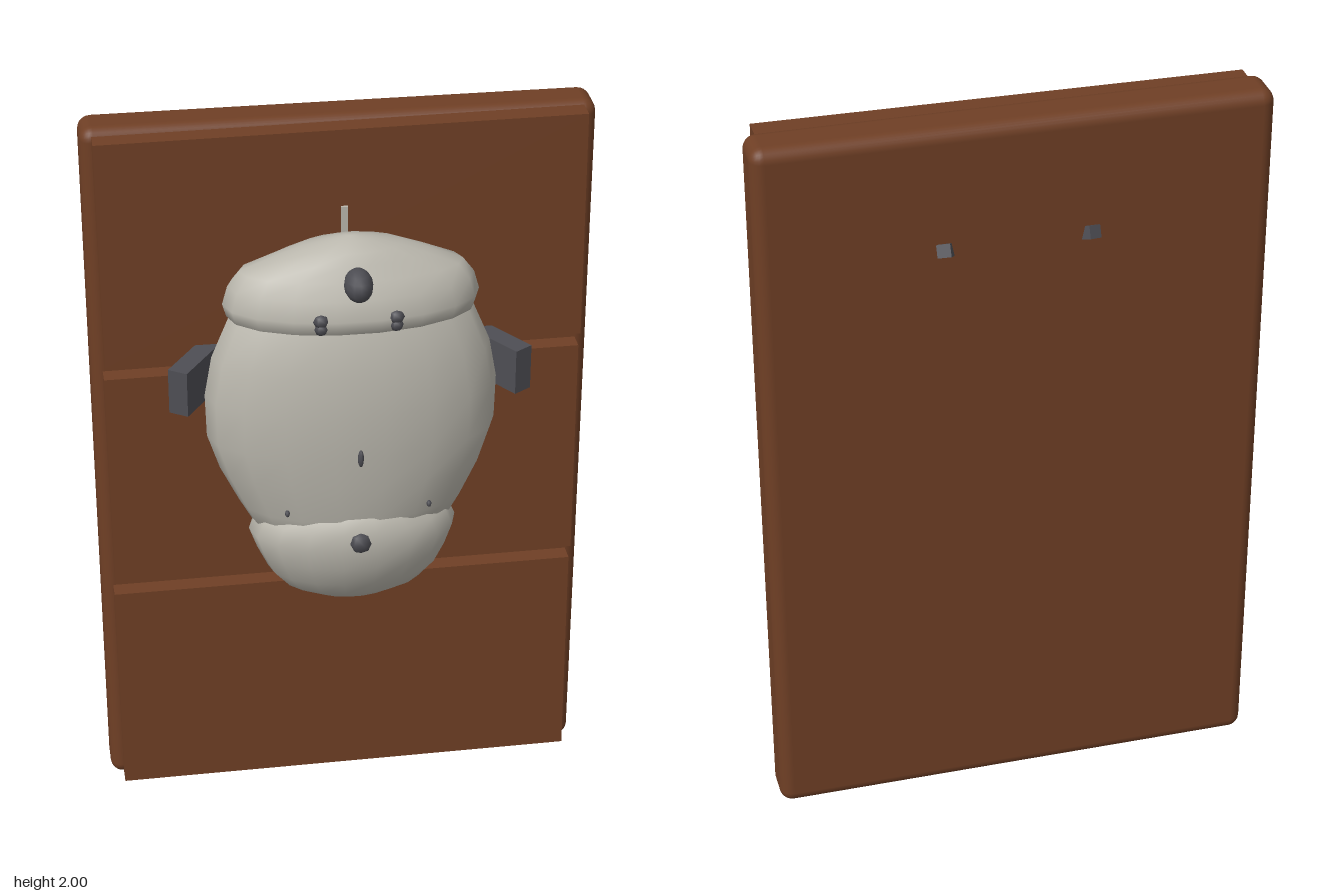
import * as THREE from 'three';
import { RoundedBoxGeometry } from 'three/addons/geometries/RoundedBoxGeometry.js';

const mat = (name, color) => {
  const m = new THREE.MeshStandardMaterial({ color });
  m.name = name;
  return m;
};

// Closed loft through elliptical rings [y, halfWidth, zCentre, halfDepth], bottom to top
function loft(rings, sides = 18) {
  const pos = [], idx = [], n = rings.length;
  for (const [y, rx, zc, rz] of rings) {
    for (let i = 0; i < sides; i++) {
      const a = (i / sides) * Math.PI * 2;
      pos.push(Math.cos(a) * rx, y, zc + Math.sin(a) * rz);
    }
  }
  for (let r = 0; r < n - 1; r++) {
    for (let i = 0; i < sides; i++) {
      const j = (i + 1) % sides;
      const a = r * sides + i, b = r * sides + j, c = a + sides, d = b + sides;
      idx.push(a, c, b, b, c, d);
    }
  }
  // end fans
  const first = rings[0], last = rings[n - 1], bottom = n * sides, top = bottom + 1;
  pos.push(0, first[0], first[2], 0, last[0], last[2]);
  for (let i = 0; i < sides; i++) {
    const j = (i + 1) % sides, o = (n - 1) * sides;
    idx.push(bottom, i, j, top, o + j, o + i);
  }
  const g = new THREE.BufferGeometry();
  g.setAttribute('position', new THREE.Float32BufferAttribute(pos, 3));
  g.setIndex(idx);
  g.computeVertexNormals();
  return g;
}

export function createModel() {
  const group = new THREE.Group();
  const wood = mat('brown wood', 0x6f3f25);
  const stone = mat('pale stone', 0xbab7ad);
  const dark = mat('dark grey', 0x4e4e54);

  const add = (name, geo, material, x = 0, y = 0, z = 0) => {
    const m = new THREE.Mesh(geo, material);
    m.name = name;
    m.position.set(x, y, z);
    group.add(m);
    return m;
  };
  // Small faceted ellipsoid
  const bead = (name, x, y, z, rx, ry, rz, w = 8, h = 6) =>
    add(name, new THREE.SphereGeometry(1, w, h).scale(rx, ry, rz), dark, x, y, z);

  // Backing board and three slightly skewed planks
  add('backBoard', new RoundedBoxGeometry(1.33, 2, 0.13, 3, 0.035), wood, 0, 1, -0.17);
  [0.335, 1.003, 1.67].forEach((y, i) => {
    const p = add('plank' + (i + 1), new THREE.BoxGeometry(1.265, 0.632, 0.06), wood, 0, y, -0.085);
    p.rotation.z = 0.007;
  });

  // Main body
  add('body', loft([
    [0.89, 0.2, 0.07, 0.1], [0.93, 0.262, 0.07, 0.145], [1.0, 0.3, 0.07, 0.163],
    [1.1, 0.348, 0.07, 0.172], [1.2, 0.38, 0.07, 0.179], [1.32, 0.383, 0.07, 0.179],
    [1.43, 0.363, 0.07, 0.167], [1.54, 0.317, 0.07, 0.143], [1.62, 0.24, 0.07, 0.1]
  ]), stone);

  // Overhanging cap at the top
  add('cap', loft([
    [1.53, 0.29, 0.07, 0.12], [1.545, 0.322, 0.07, 0.147], [1.58, 0.332, 0.07, 0.15],
    [1.63, 0.318, 0.07, 0.134], [1.67, 0.288, 0.07, 0.106], [1.705, 0.2, 0.07, 0.086],
    [1.73, 0.13, 0.07, 0.065], [1.748, 0.055, 0.07, 0.03], [1.755, 0.015, 0.07, 0.01]
  ]), stone);

  // Rounded lower lobe, its top sunk into the body
  add('lowerLobe', loft([
    [0.7, 0.03, 0.09, 0.02], [0.715, 0.11, 0.09, 0.06], [0.75, 0.185, 0.09, 0.1],
    [0.8, 0.228, 0.09, 0.134], [0.86, 0.256, 0.09, 0.157], [0.92, 0.277, 0.09, 0.167],
    [0.97, 0.255, 0.09, 0.162], [1.01, 0.2, 0.09, 0.142], [1.04, 0.1, 0.09, 0.08]
  ]), stone);

  // Dark ornaments down the front
  bead('topKnob', 0, 1.675, 0.2, 0.037, 0.043, 0.056, 12, 8).rotation.x = -0.1;
  bead('centreStud', 0, 1.2, 0.247, 0.008, 0.025, 0.012);
  bead('lowerStud', 0, 0.945, 0.25, 0.03, 0.03, 0.016, 7, 4);

  // Hanging pin above the cap
  add('hangingPin', new THREE.BoxGeometry(0.018, 0.14, 0.012), stone, 0, 1.705, -0.053);

  // Mirrored details
  for (const [side, s] of [['left', 1], ['right', -1]]) {
    bead(side + 'EyeUpper', s * 0.096, 1.583, 0.208, 0.021, 0.018, 0.016, 6, 4);
    bead(side + 'EyeLower', s * 0.096, 1.562, 0.209, 0.018, 0.018, 0.015, 6, 4);
    bead(side + 'LowerPin', s * 0.187, 1.025, 0.205, 0.007, 0.009, 0.012, 6, 4);
    // Angled bracket gripping the body
    const b = add(side + 'Bracket', new THREE.BoxGeometry(0.055, 0.125, 0.25), dark, s * 0.384, 1.338, -0.02);
    b.rotation.y = s * 0.582;
    // Nail tip poking through the back
    const t = add(side + 'NailTip', new THREE.BoxGeometry(0.036, 0.034, 0.07), dark, s * 0.18, 1.665, -0.22);
    t.rotation.set(0.45, -s * 0.45, 0);
  }
  return group;
}
